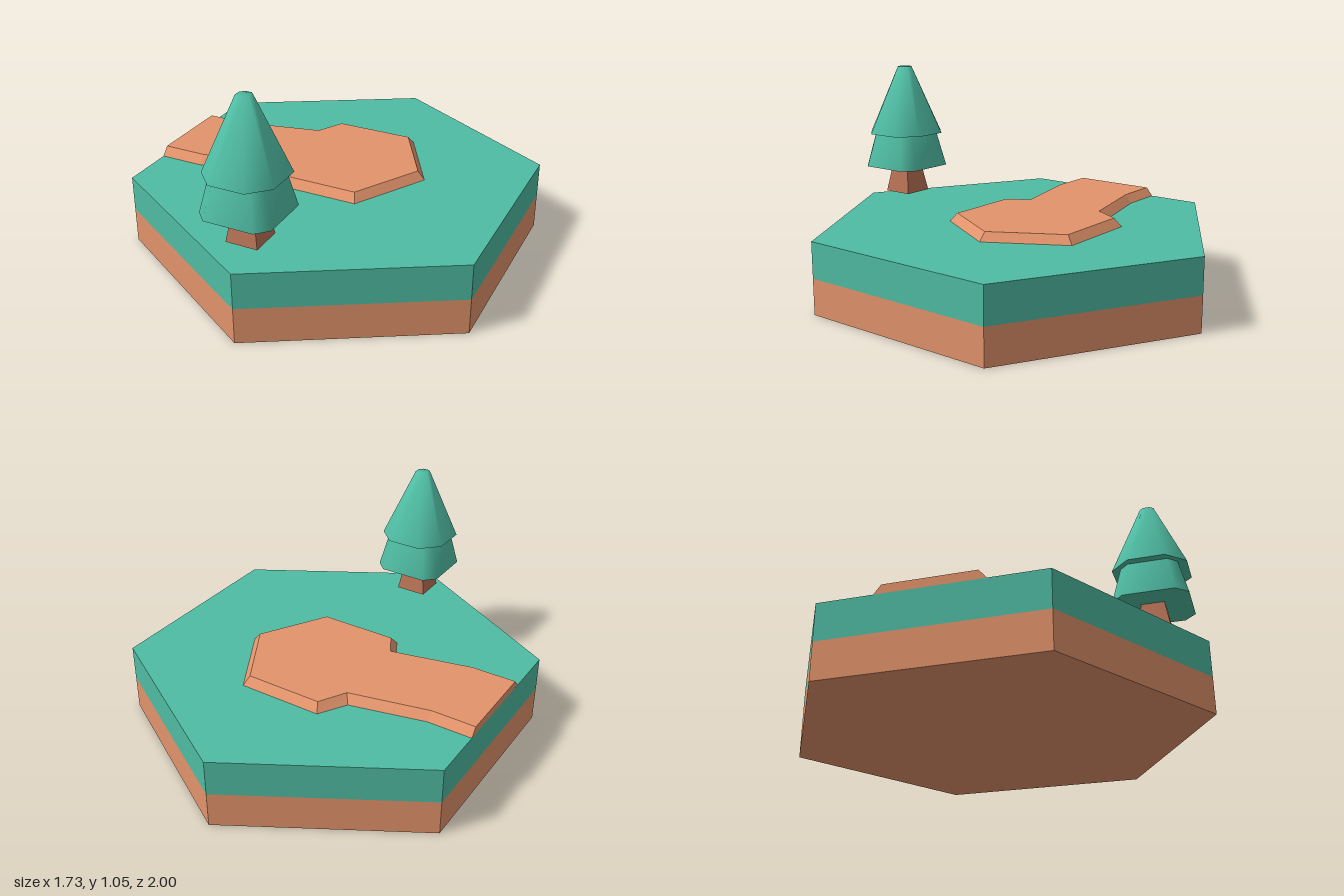
import * as THREE from 'three';
import { toCreasedNormals } from 'three/addons/utils/BufferGeometryUtils.js';

const material = (name, color) => {
  const m = new THREE.MeshStandardMaterial({ color });
  m.name = name;
  return m;
};

// Joins two outlines of [x, z] points, counterclockwise seen from above, with optional caps
function loft(lower, upper, y0, y1, crease, bottomCap = true, topCap = true) {
  const n = lower.length;
  const positions = [
    ...lower.flatMap(([x, z]) => [x, y0, z]),
    ...upper.flatMap(([x, z]) => [x, y1, z]),
  ];
  const index = [];
  for (let i = 0; i < n; i++) {
    const j = (i + 1) % n;
    index.push(i, j, n + j, i, n + j, n + i);
  }
  const cap = (ring, offset, up) => {
    const pts = ring.map(([x, z]) => new THREE.Vector2(x, -z));
    for (const [a, b, c] of THREE.ShapeUtils.triangulateShape(pts, [])) {
      const ccw = THREE.ShapeUtils.area([pts[a], pts[b], pts[c]]) > 0;
      if (ccw === up) index.push(offset + a, offset + b, offset + c);
      else index.push(offset + a, offset + c, offset + b);
    }
  };
  if (bottomCap) cap(lower, 0, false);
  if (topCap) cap(upper, n, true);
  const g = new THREE.BufferGeometry();
  g.setAttribute('position', new THREE.Float32BufferAttribute(positions, 3));
  g.setIndex(index);
  return toCreasedNormals(g, crease);
}

// Square with cut corners: r is the half width, f half the flat side
const octagon = (r, f) => [
  [-f, r], [f, r], [r, f], [r, -f], [f, -r], [-f, -r], [-r, -f], [-r, f],
];
const square = (r) => [[-r, r], [r, r], [r, -r], [-r, -r]];

export function createModel() {
  const model = new THREE.Group();
  model.name = 'hexTile';
  const dirt = material('dirt', 0xe2936b);
  const grass = material('grass', 0x4fbca3);
  const bark = material('bark', 0xb87256);

  const add = (parent, name, geometry, mat) => {
    const mesh = new THREE.Mesh(geometry, mat);
    mesh.name = name;
    parent.add(mesh);
  };

  // Hexagonal base in two layers
  const hex = [];
  for (let i = 0; i < 6; i++) {
    const a = (i * Math.PI) / 3;
    hex.push([Math.sin(a), Math.cos(a)]);
  }
  add(model, 'dirtLayer', loft(hex, hex, 0, 0.173, 0.1, true, false), dirt);
  add(model, 'grassLayer', loft(hex, hex, 0.173, 0.346, 0.1, false, true), grass);

  // Raised dirt path with bevelled edge, ending in a hexagonal clearing
  const pathFoot = [
    [-0.866, 0.24], [-0.65, 0.24], [-0.265, 0.153], [-0.207, 0.257], [0.207, 0.257],
    [0.41, -0.1], [0.207, -0.46], [-0.207, -0.46], [-0.286, -0.327], [-0.65, -0.243],
    [-0.866, -0.243],
  ];
  const pathTop = [
    [-0.866, 0.204], [-0.65, 0.204], [-0.252, 0.116], [-0.19, 0.224], [0.19, 0.224],
    [0.375, -0.1], [0.19, -0.427], [-0.19, -0.427], [-0.262, -0.296], [-0.65, -0.21],
    [-0.866, -0.21],
  ];
  add(model, 'path', loft(pathFoot, pathTop, 0.346, 0.387, 0.1, false, true), dirt);

  // Tree hovering a little above the grass
  const tree = new THREE.Group();
  tree.name = 'tree';
  tree.position.set(-0.037, 0, 0.775);
  model.add(tree);
  const smooth = THREE.MathUtils.degToRad(80);
  add(tree, 'trunk', loft(square(0.077), square(0.052), 0.387, 0.53, 0.1, true, false), bark);
  add(tree, 'lowerFoliage',
    loft(octagon(0.172, 0.118), octagon(0.131, 0.09), 0.527, 0.701, smooth, true, false), grass);
  add(tree, 'upperFoliage',
    loft(octagon(0.172, 0.085), octagon(0.033, 0.016), 0.701, 1.046, smooth), grass);

  return model;
}
